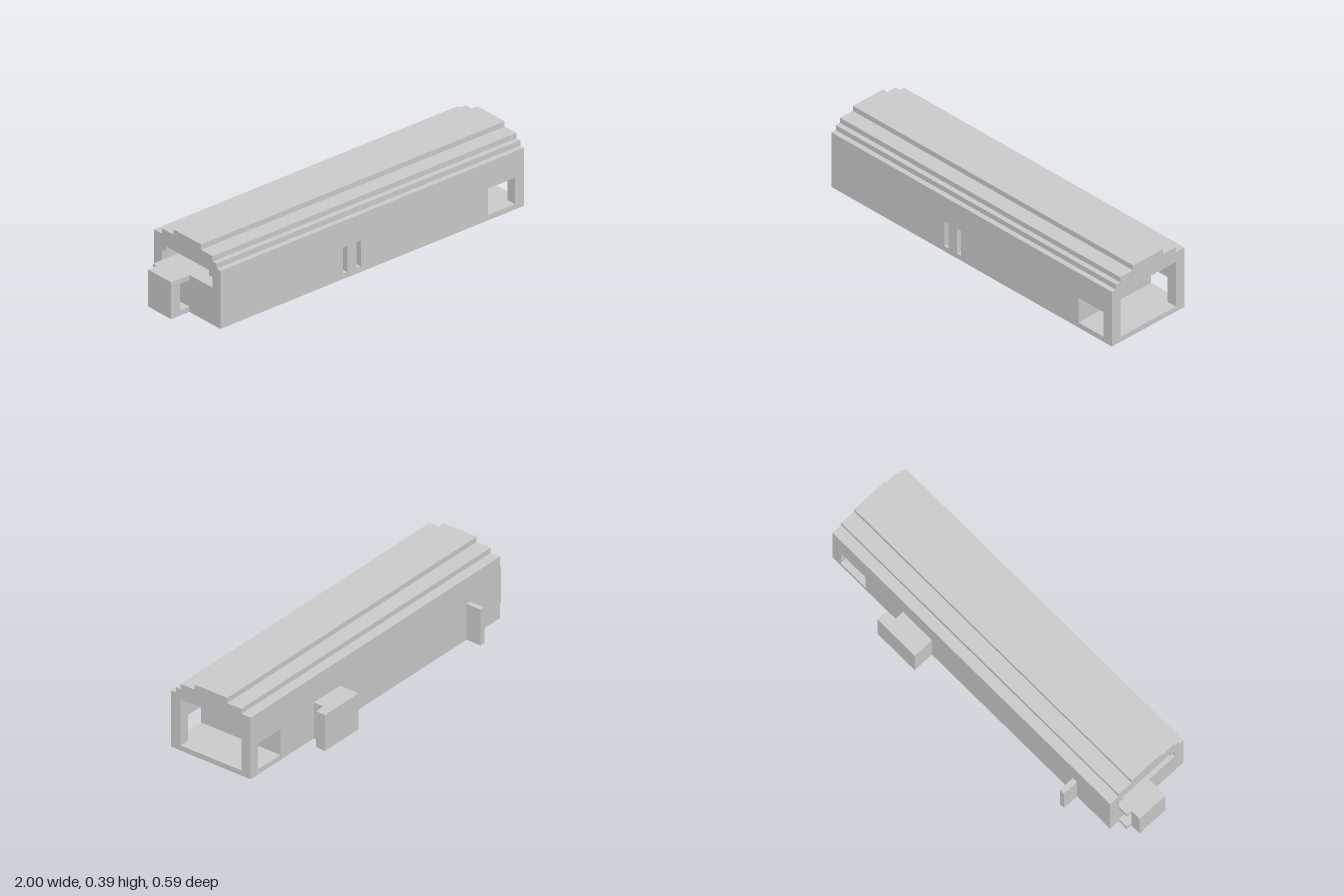
import * as THREE from 'three';

// Everything sits on a grid: 71 cells long (x), 14 high (y), 21 deep (z, from the back)
const U = 2 / 71;
const material = new THREE.MeshStandardMaterial({ color: 0xcccccc, flatShading: true });

function addMesh(group, name, geometry) {
  const mesh = new THREE.Mesh(geometry, material);
  mesh.name = name;
  group.add(mesh);
  return mesh;
}

// Box given by its grid limits
function block(group, name, [x0, x1], [y0, y1], [z0, z1]) {
  const geometry = new THREE.BoxGeometry(x1 - x0, y1 - y0, z1 - z0);
  geometry.translate((x0 + x1) / 2, (y0 + y1) / 2, (z0 + z1) / 2);
  return addMesh(group, name, geometry);
}

function rectangle(Type, x0, x1, y0, y1) {
  return new Type([[x0, y0], [x1, y0], [x1, y1], [x0, y1]].map(p => new THREE.Vector2(...p)));
}

// Long wall, two cells thick, pierced by openings between y = 1 and y = 6
function sideWall(group, name, z, openings) {
  const shape = rectangle(THREE.Shape, 4, 71, 0, 10);
  for (const [x0, x1] of openings) shape.holes.push(rectangle(THREE.Path, x0, x1, 1, 6));
  const geometry = new THREE.ExtrudeGeometry(shape, { depth: 2, bevelEnabled: false });
  addMesh(group, name, geometry.translate(0, 0, z));
}

export function createModel() {
  const model = new THREE.Group();
  const grid = new THREE.Group();
  grid.name = 'hall';
  grid.scale.setScalar(U);
  grid.position.set(-1, 0, -10.5 * U);
  model.add(grid);

  // Side walls with the end window and two narrow slots
  sideWall(grid, 'frontWall', 19, [[31, 32], [34, 35], [63, 69]]);
  sideWall(grid, 'backWall', 4, [[63, 69]]);

  // Stepped roof, drawn in (z, y) and run along x
  const steps = [[4, 10], [21, 10], [21, 11], [20, 11], [20, 12], [19, 12], [19, 13], [16, 13],
    [16, 14], [9, 14], [9, 13], [6, 13], [6, 12], [4, 12]];
  const roofShape = new THREE.Shape(steps.map(([z, y]) => new THREE.Vector2(-z, y)));
  const roof = new THREE.ExtrudeGeometry(roofShape, { depth: 67, bevelEnabled: false });
  addMesh(grid, 'steppedRoof', roof.rotateY(Math.PI / 2).translate(4, 0, 0));

  // Raised deck inside and the low floor of the open end
  block(grid, 'raisedDeck', [4, 63], [0, 7], [6, 19]);
  block(grid, 'entranceFloor', [63, 71], [0, 1], [6, 19]);

  // Bars between deck and roof, every second cell
  for (let z = 7; z < 19; z += 2) block(grid, 'grilleBar', [62, 63], [7, 10], [z, z + 1]);

  // Inner posts and the small upper corners of the far opening
  for (const z of [8, 12]) block(grid, 'innerPost', [33, 34], [7, 10], [z, z + 1]);
  for (const z of [6, 18]) block(grid, 'openingCorner', [4, 5], [9, 10], [z, z + 1]);

  // Porch on the far end with a passage through it
  block(grid, 'porchEnd', [0, 2], [0, 7], [7, 13]);
  block(grid, 'porchFloor', [2, 4], [0, 1], [6, 13]);
  block(grid, 'porchRoof', [2, 4], [6, 7], [6, 13]);

  // Annex on the back, hollow from below
  block(grid, 'annexOuterWall', [47, 56], [0, 7], [0, 2]);
  block(grid, 'annexTop', [47, 54], [6, 7], [2, 4]);
  for (const x of [47, 53]) block(grid, 'annexSideWall', [x, x + 1], [0, 6], [2, 4]);

  // Thin buttress on the back
  block(grid, 'backButtress', [12, 13], [0, 7], [1, 4]);

  return model;
}
